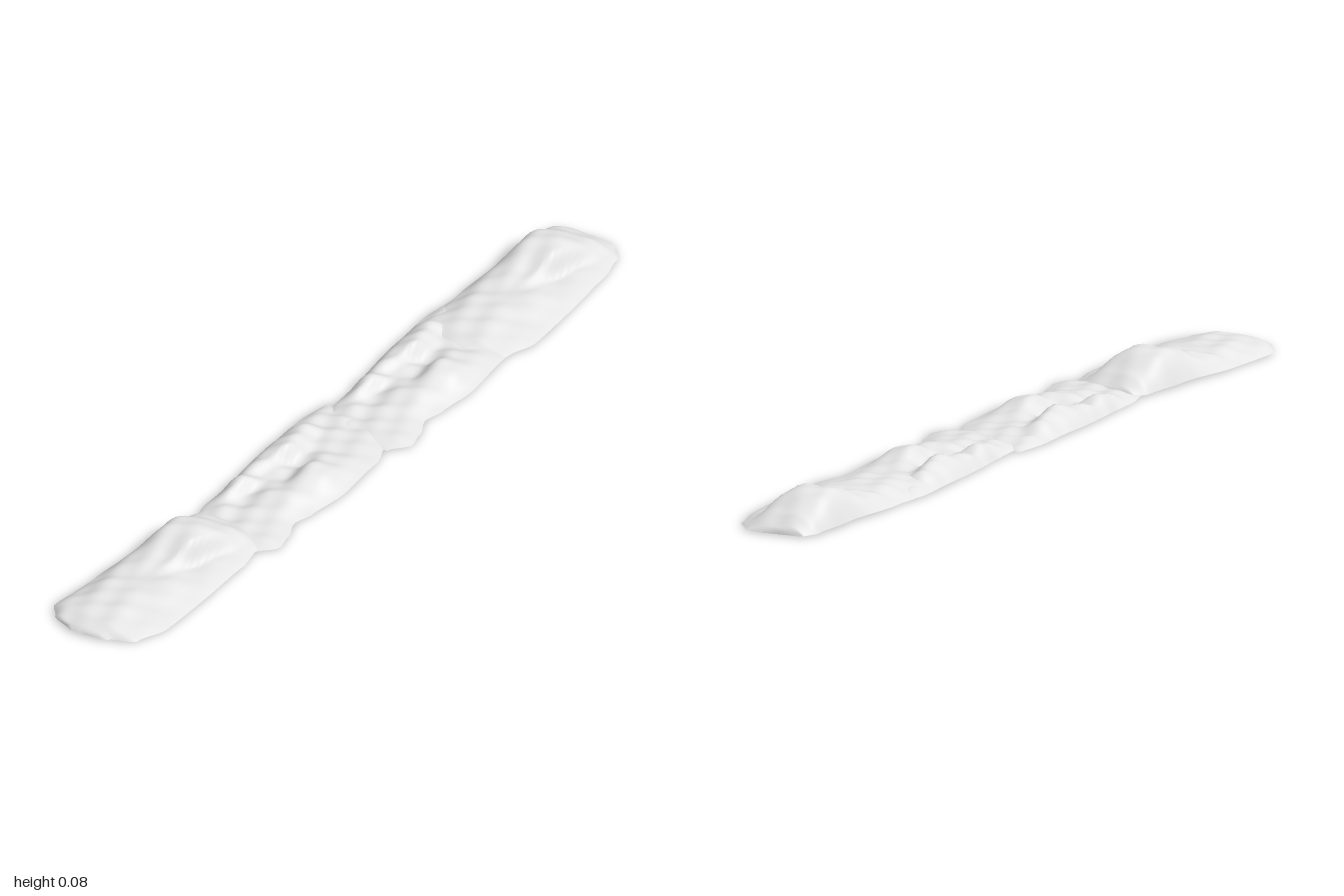
import * as THREE from 'three';

const snow = new THREE.MeshStandardMaterial({ color: 0xe4e4e4, side: THREE.DoubleSide });
snow.name = 'snow white';

// Smooth interpolation through [x, value] points
function curve(points) {
  return (x) => {
    let i = 0;
    while (i < points.length - 2 && x > points[i + 1][0]) i++;
    const [x0, a] = points[i], [x1, b] = points[i + 1];
    return THREE.MathUtils.lerp(a, b, THREE.MathUtils.smoothstep(x, x0, x1));
  };
}

// Open shell: a grid fitted between the back and front outline, raised by mounds.
// A mound is [x, z, width, depth, height, cliff]; a cliff cuts off its front side steeply.
function driftGeometry({ back, front, base, plateau, mounds, rough }) {
  const backZ = curve(back), frontZ = curve(front);
  const x0 = back[0][0], x1 = back[back.length - 1][0];
  const geo = new THREE.PlaneGeometry(1, 1, 80, 32).rotateX(-Math.PI / 2);
  const pos = geo.attributes.position;
  for (let i = 0; i < pos.count; i++) {
    const x = THREE.MathUtils.lerp(x0, x1, pos.getX(i) + 0.5);
    const v = pos.getZ(i) + 0.5;
    const z = THREE.MathUtils.lerp(backZ(x), frontZ(x), v);
    let h = plateau;
    for (const [cx, cz, w, d, height, cliff] of mounds) {
      let m = height * Math.exp(-(((x - cx) / w) ** 2) - ((z - cz) / d) ** 4);
      if (cliff !== undefined) m *= 1 - THREE.MathUtils.smoothstep(z - (x - cx) * 0.3, cliff - 0.02, cliff + 0.01);
      h += m;
    }
    // crusty lumps, strongest along the back
    const lump = Math.sin(x * 47 + z * 31) * Math.sin(z * 53 - x * 22) + 0.6 * Math.sin(x * 96 - z * 64);
    h += rough * lump * (1.3 - v);
    // rounded fall to the rim, steeper at the back
    const rim = v < 0.5 ? 1 - (1 - 2 * v) ** 5 : 1 - (2 * v - 1) ** 3;
    const end = Math.sqrt(Math.min(1, Math.min(x - x0, x1 - x) / 0.05 + 1e-6));
    const wave = base * (0.7 + 0.3 * Math.sin(x * 14));
    pos.setXYZ(i, x, wave + Math.max(0, h) * rim * end, z);
  }
  geo.computeVertexNormals();
  return geo;
}

// Rounded end piece with one tall mound
const endDrift = {
  back: [[-0.285, -0.055], [-0.265, -0.115], [-0.225, -0.145], [-0.08, -0.135], [0.12, -0.115], [0.23, -0.1], [0.27, -0.08], [0.285, 0.02]],
  front: [[-0.285, -0.03], [-0.265, 0.04], [-0.225, 0.1], [-0.14, 0.125], [0.02, 0.125], [0.16, 0.12], [0.24, 0.105], [0.285, 0.07]],
  base: 0.008, plateau: 0.02, rough: 0.003,
  mounds: [
    [0.13, -0.03, 0.1, 0.1, 0.055, 0.05],
    [-0.13, -0.03, 0.1, 0.08, 0.014],
    [-0.03, 0.04, 0.05, 0.05, 0.01],
    [0.02, -0.08, 0.08, 0.05, 0.01],
  ],
};

// Rugged middle piece with a front mound and a broken back ridge
const middleDrift = {
  back: [[-0.29, -0.085], [-0.2, -0.105], [0.08, -0.125], [0.2, -0.13], [0.29, -0.12]],
  front: [[-0.29, 0.105], [-0.235, 0.14], [-0.19, 0.13], [-0.135, 0.108], [-0.08, 0.12], [0.02, 0.132], [0.17, 0.12], [0.24, 0.095], [0.29, 0.08]],
  base: 0.005, plateau: 0.015, rough: 0.005,
  mounds: [
    [0.02, 0.06, 0.07, 0.05, 0.032],
    [-0.12, -0.08, 0.07, 0.045, 0.026, -0.045],
    [0.03, -0.075, 0.08, 0.05, 0.032, -0.04],
    [0.13, -0.09, 0.05, 0.04, 0.016],
    [-0.1, 0.04, 0.05, 0.05, 0.014],
  ],
};

export function createModel() {
  const group = new THREE.Group();
  group.name = 'snowDrift';
  const endGeo = driftGeometry(endDrift);
  const middleGeo = driftGeometry(middleDrift);
  // name, geometry, x, z, turn
  const pieces = [
    ['rightEndDrift', endGeo, -0.715, 0, 0],
    ['rightMiddleDrift', middleGeo, -0.2, 0, 0],
    ['leftMiddleDrift', middleGeo, 0.31, -0.006, 0.035],
    ['leftEndDrift', endGeo, 0.715, -0.006, 0.07],
  ];
  for (const [name, geo, x, z, turn] of pieces) {
    const mesh = new THREE.Mesh(geo, snow);
    mesh.name = name;
    mesh.position.set(x, -0.002, z);
    mesh.rotation.y = turn;
    group.add(mesh);
  }
  return group;
}
